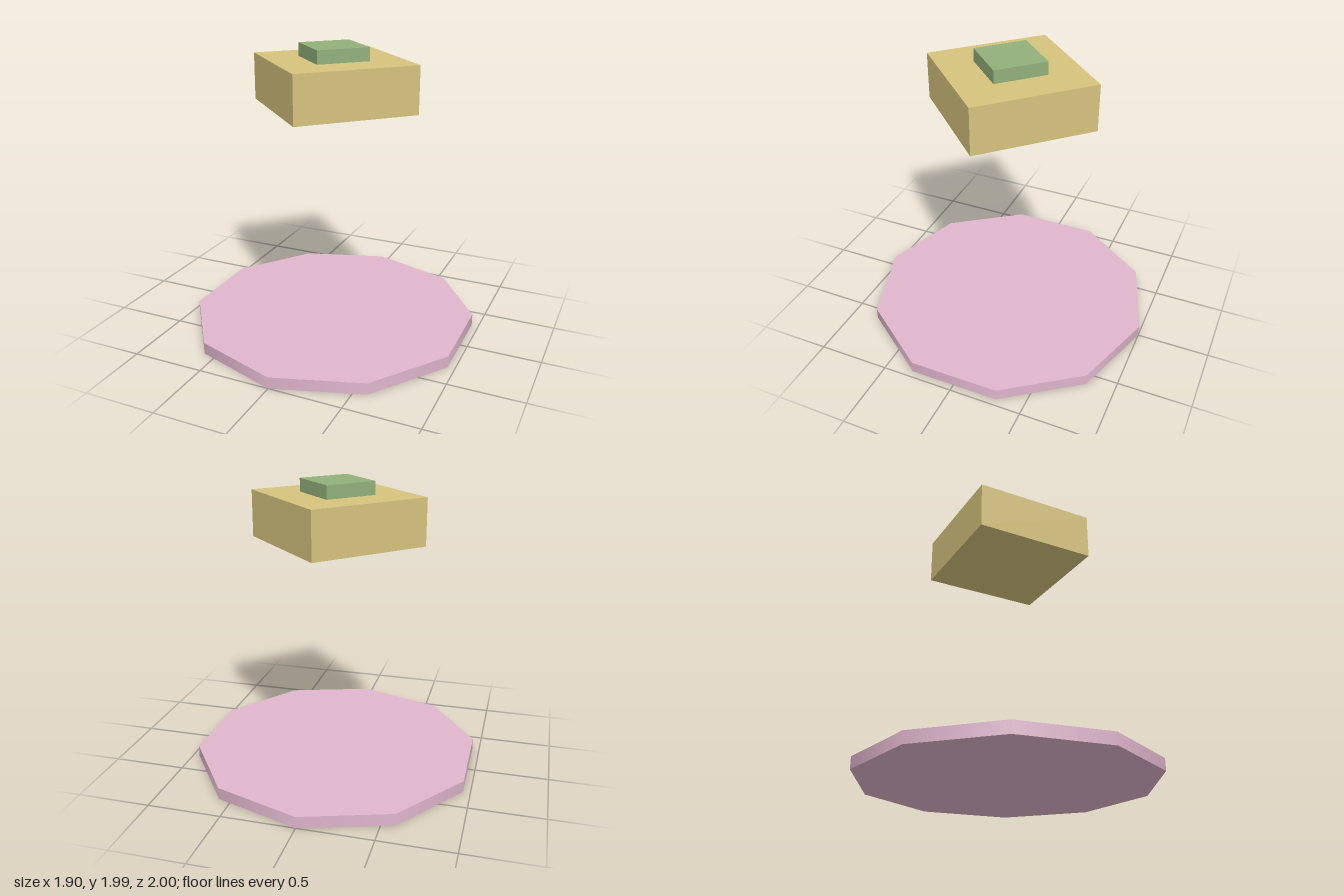
import * as THREE from 'three';

// Upright prism with a corner facing +z, spanning y = bottom to top
function prism(name, radius, bottom, top, sides, color, flatShading) {
  const geometry = new THREE.CylinderGeometry(radius, radius, top - bottom, sides);
  const material = new THREE.MeshStandardMaterial({ color, flatShading });
  const mesh = new THREE.Mesh(geometry, material);
  mesh.name = name;
  mesh.position.y = (bottom + top) / 2;
  return mesh;
}

export function createModel() {
  const model = new THREE.Group();
  model.name = 'floatingBlockOverDisc';
  model.add(
    // Ten-sided base disc with smooth-shaded rim
    prism('baseDisc', 1, 0, 0.08, 10, 0xe0b6cd, false),
    // Square block floating above, turned 45 degrees
    prism('floatingBlock', 0.595, 1.58, 1.9, 4, 0xd6c37e, true),
    // Small square cap on the block
    prism('topCap', 0.255, 1.9, 1.99, 4, 0x92b07b, true),
  );
  return model;
}
